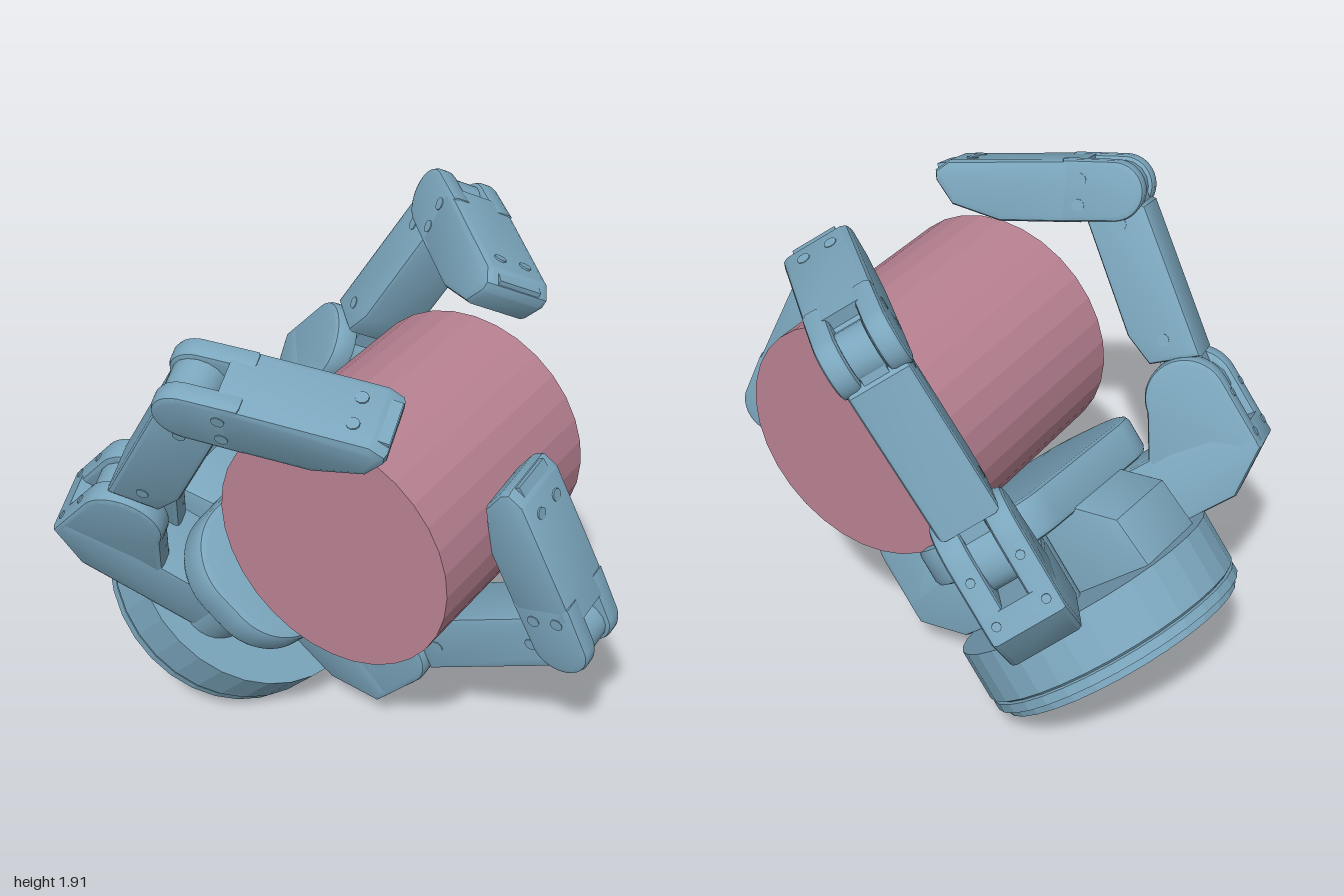
import * as THREE from 'three';
import { toCreasedNormals } from 'three/addons/utils/BufferGeometryUtils.js';

const blue = new THREE.MeshStandardMaterial({ color: 0x7ba6bd });
const pink = new THREE.MeshStandardMaterial({ color: 0xb98293 });
const rad = THREE.MathUtils.degToRad;

function add(parent, name, geometry, material = blue) {
  const mesh = new THREE.Mesh(geometry, material);
  mesh.name = name;
  parent.add(mesh);
  return mesh;
}

function outline(points) {
  return new THREE.Shape(points.map(([x, y]) => new THREE.Vector2(x, y)));
}

// Bevelled plate: a side profile given thickness along z, centred on z
function slab(parent, name, shape, width, z = 0, bevel = 0.02) {
  const depth = width - 2 * bevel;
  const geo = new THREE.ExtrudeGeometry(shape, {
    depth, bevelEnabled: true, bevelThickness: bevel, bevelSize: bevel,
    bevelOffset: -bevel, bevelSegments: 2, curveSegments: 10,
  });
  geo.translate(0, 0, z - depth / 2);
  return add(parent, name, toCreasedNormals(geo, 0.6));
}

// Short pin lying along z
function pin(parent, name, x, y, radius, width) {
  const geo = new THREE.CylinderGeometry(radius, radius, width, 16);
  geo.rotateX(Math.PI / 2).translate(x, y, 0);
  return add(parent, name, toCreasedNormals(geo, 0.6));
}

// Screw head facing along x
function screw(parent, name, x, y, z, radius) {
  const geo = new THREE.CylinderGeometry(radius, radius, 0.03, 10);
  geo.rotateZ(Math.PI / 2).translate(x, y, z);
  return add(parent, name, geo);
}

// Knuckle cheek: rounded head with a sloping inner edge
function knuckleCheek() {
  const s = new THREE.Shape();
  s.moveTo(0.28, 0.48);
  s.lineTo(0.69, 0.4);
  s.absarc(0.54, 0.655, 0.15, 0, Math.PI * 0.95);
  return s;
}

// Fingertip fork cheek: rounded tail around the joint
function tailCheek() {
  const s = new THREE.Shape();
  s.absarc(0, 0, 0.107, Math.PI, Math.PI * 2);
  s.lineTo(0.093, 0.19);
  s.lineTo(-0.128, 0.19);
  return s;
}

// Fingertip link: the joint is at the origin, the tip points up, the grip faces -x
function makeFingertip() {
  const g = new THREE.Group();
  g.name = 'fingertip';
  slab(g, 'fingertipBody', outline([
    [0.098, 0.11], [0.045, 0.6], [0.005, 0.65], [-0.03, 0.645],
    [-0.11, 0.58], [-0.15, 0.4], [-0.122, 0.11],
  ]), 0.25, 0, 0.025);
  for (const s of [-1, 1]) {
    slab(g, 'fingertipFork', tailCheek(), 0.077, s * 0.0865);
    screw(g, 'tipScrew', 0.042, 0.53, s * 0.05, 0.022);
  }
  const panel = add(g, 'backPanel', new THREE.BoxGeometry(0.02, 0.3, 0.17));
  panel.position.set(0.064, 0.32, 0);
  panel.rotation.z = 0.108;
  const lip = add(g, 'tipLip', new THREE.BoxGeometry(0.02, 0.06, 0.16));
  lip.position.set(0.022, 0.62, 0);
  lip.rotation.z = 0.25;
  for (const x of [0.03, -0.06]) pin(g, 'sideScrew', x, 0.12, 0.022, 0.256);
  return g;
}

// Finger: outward along +x from its spread axis, up along y.
// Both leans are measured from upright: the inner link outward, the tip inward.
function makeFinger(name, linkLean, tipLean) {
  const g = new THREE.Group();
  g.name = name;

  // Knuckle body with two cheeks holding the first joint
  slab(g, 'knuckle', outline([
    [0, 0.27], [0.52, 0.27], [0.69, 0.385], [0.69, 0.48], [0.4, 0.53], [0, 0.53],
  ]), 0.27);
  for (const s of [-1, 1]) {
    slab(g, 'knuckleCheek', knuckleCheek(), 0.09, s * 0.09);
    for (const y of [0.44, 0.6]) screw(g, 'knuckleScrew', 0.68, y, s * 0.09, 0.016);
  }

  // Inner link between the two joints
  const link = new THREE.Group();
  link.name = 'innerLink';
  link.position.set(0.55, 0.64, 0);
  link.rotation.z = -rad(linkLean);
  g.add(link);
  slab(link, 'innerLinkBody', outline([
    [0.085, 0.14], [0.085, 0.7], [0.05, 0.74], [-0.09, 0.75],
    [-0.13, 0.72], [-0.138, 0.29], [-0.1, 0.17],
  ]), 0.22);
  add(link, 'innerLinkTongue', new THREE.BoxGeometry(0.15, 0.78, 0.088)).position.set(0, 0.39, 0);
  pin(link, 'knuckleJoint', 0, 0, 0.12, 0.09);
  pin(link, 'tipJoint', 0, 0.785, 0.09, 0.094);
  for (const y of [0.24, 0.67]) pin(link, 'linkScrew', -0.02, y, 0.022, 0.226);

  const tip = makeFingertip();
  tip.position.y = 0.785;
  tip.rotation.z = rad(linkLean + tipLean);
  link.add(tip);
  return g;
}

export function createModel() {
  const model = new THREE.Group();
  model.name = 'gripperHoldingCylinder';

  // Held cylinder
  const rod = new THREE.CylinderGeometry(0.445, 0.445, 0.89, 32);
  rod.rotateX(Math.PI / 2);
  add(model, 'heldCylinder', toCreasedNormals(rod, 0.1), pink).position.set(0.19, 1.13, 0.075);

  // Gripper, built upright and then leaned over
  const hand = new THREE.Group();
  hand.name = 'gripper';
  model.add(hand);

  // Round base with stepped lower rim
  const profile = [
    [0, 0], [0.47, 0], [0.475, 0.03], [0.495, 0.03], [0.495, 0.065],
    [0.485, 0.07], [0.5, 0.08], [0.5, 0.275], [0, 0.275],
  ].map(([x, y]) => new THREE.Vector2(x, y));
  add(hand, 'base', toCreasedNormals(new THREE.LatheGeometry(profile, 32), 0.1));

  // Rear housing under the palm, reaching forward to the thumb
  slab(hand, 'rearHousing', outline([
    [-0.43, 0.26], [0.15, 0.26], [0.15, 0.56], [-0.27, 0.56], [-0.41, 0.46],
  ]), 0.34, 0, 0.01);

  // Palm plate with round ends
  const palm = new THREE.Shape();
  palm.absarc(0.05, 0.27, 0.23, 0, Math.PI / 2);
  palm.absarc(-0.05, 0.27, 0.23, Math.PI / 2, Math.PI);
  palm.absarc(-0.05, -0.27, 0.23, Math.PI, Math.PI * 1.5);
  palm.absarc(0.05, -0.27, 0.23, Math.PI * 1.5, Math.PI * 2);
  const plate = slab(hand, 'palm', palm, 0.15, 0, 0.025);
  plate.rotation.x = -Math.PI / 2;
  plate.position.y = 0.615;

  // Round roots of the two spreading fingers
  for (const s of [-1, 1]) {
    const root = new THREE.CylinderGeometry(0.145, 0.145, 0.27, 28);
    add(hand, 'fingerRoot', toCreasedNormals(root, 0.6)).position.set(0, 0.405, s * 0.27);
  }

  // Fingers: [name, spread axis z, outward direction x and z, link lean, tip lean]
  const fingers = [
    ['thumb', 0, 1, 0, 19.5, 58],
    ['frontFinger', 0.27, -0.945, 0.33, 10, 54],
    ['backFinger', -0.27, -0.603, -0.798, 17, 55],
  ];
  for (const [name, z, dx, dz, linkLean, tipLean] of fingers) {
    const finger = makeFinger(name, linkLean, tipLean);
    finger.position.z = z;
    finger.rotation.y = Math.atan2(-dz, dx);
    hand.add(finger);
  }

  // Lean the gripper towards +x with a slight roll
  const up = new THREE.Vector3(0.667, 0.738, 0.085).normalize();
  const side = new THREE.Vector3(0.735, -0.667, -0.1).cross(up).normalize();
  const out = new THREE.Vector3().crossVectors(up, side);
  hand.applyMatrix4(new THREE.Matrix4().makeBasis(out, up, side).setPosition(-0.65, 0.325, 0.036));
  return model;
}
